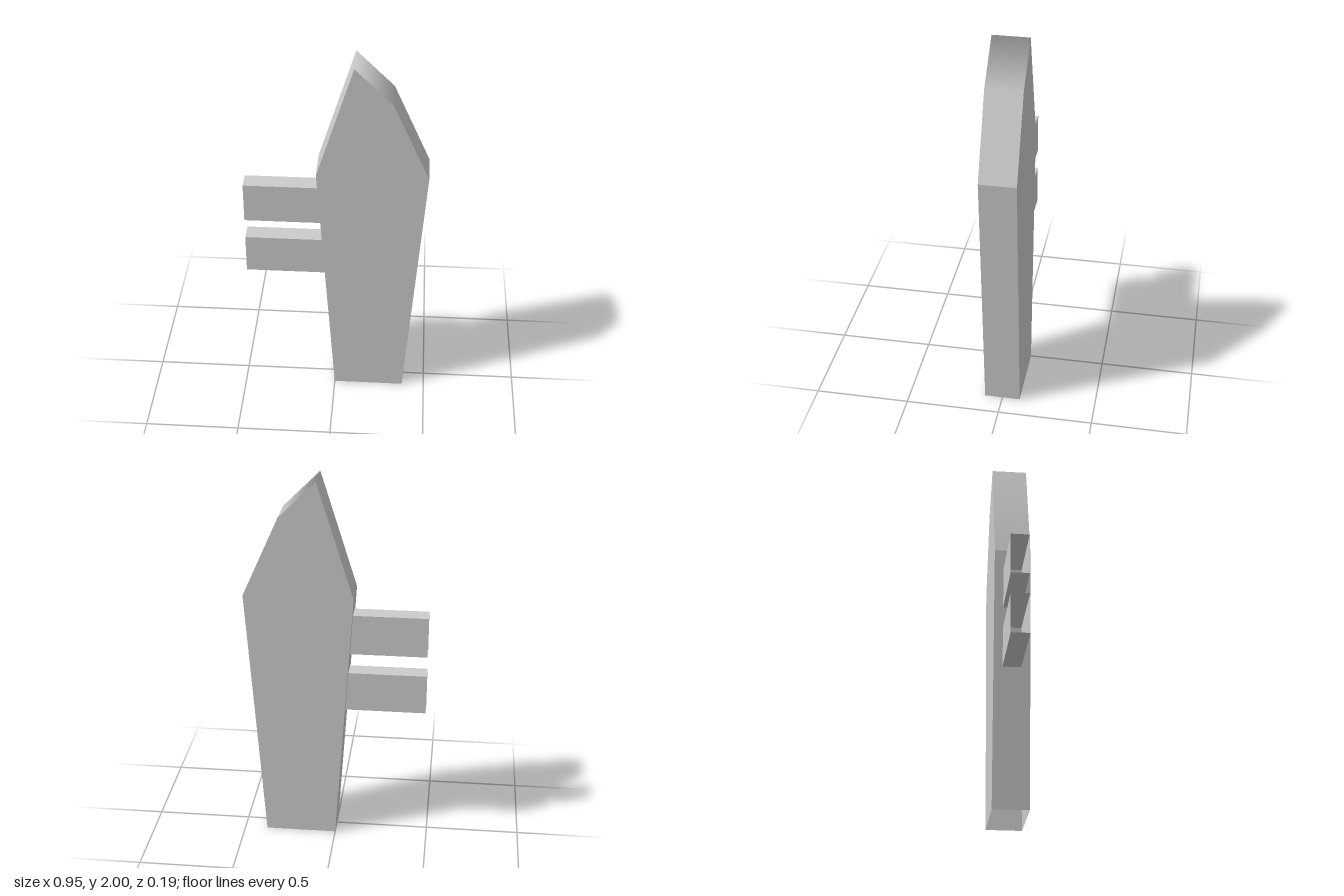
import * as THREE from 'three';
import { mergeGeometries } from 'three/addons/utils/BufferGeometryUtils.js';

// One quad, corners counter-clockwise seen from outside
function quad(corners) {
  const g = new THREE.BufferGeometry();
  g.setAttribute('position', new THREE.Float32BufferAttribute(corners.flat(), 3));
  g.setAttribute('uv', new THREE.Float32BufferAttribute([0, 0, 1, 0, 1, 1, 0, 1], 2));
  g.setIndex([0, 1, 2, 0, 2, 3]);
  g.computeVertexNormals();
  return g;
}

export function createModel() {
  const model = new THREE.Group();
  const mat = new THREE.MeshStandardMaterial({ color: 0xcccccc, side: THREE.DoubleSide });
  const add = (name, parts) => {
    const mesh = new THREE.Mesh(mergeGeometries(parts), mat);
    mesh.name = name;
    model.add(mesh);
  };

  // Picket outline, from the bottom right counter-clockwise to the bottom left
  const outline = [[0.378, 0], [0.473, 1.39], [0.285, 1.81], [0.093, 2], [-0.095, 1.39], [0, 0]];
  const D = 0.095;
  const shape = new THREE.Shape(outline.map(([x, y]) => new THREE.Vector2(x, y)));
  const front = new THREE.ShapeGeometry(shape).translate(0, 0, D);
  const back = new THREE.ShapeGeometry(shape).rotateY(Math.PI).scale(-1, 1, 1).translate(0, 0, -D);
  // The mirror turned the faces over, so reverse their corners
  back.setIndex([...back.index.array].reverse());
  back.computeVertexNormals();
  add('picketFaces', [front, back]);

  // Picket edge band, open at the bottom; the crown is shaded softly across the tip
  const soft = { 2: [[0.913, 0.408], [-0.91, 0.41]], 3: [[-0.91, 0.41], [-0.97, 0.24]] };
  const band = [];
  for (let i = 0; i < outline.length - 1; i++) {
    const [a, b] = [outline[i], outline[i + 1]];
    const g = quad([[...a, D], [...a, -D], [...b, -D], [...b, D]]);
    if (soft[i]) {
      const [na, nb] = soft[i];
      [na, na, nb, nb].forEach((n, k) => g.attributes.normal.setXYZ(k, n[0], n[1], 0));
    }
    band.push(g);
  }
  add('picketEdges', band);

  // Rails: hollow beams with open ends, cut to the slant of the picket side
  const sideX = (y) => -0.095 * y / 1.39;
  const X = -0.475, H = 0.048;
  [['upperRail', 1.065, 1.282], ['lowerRail', 0.74, 0.955]].forEach(([name, y0, y1]) => {
    const section = [[y0, H], [y1, H], [y1, -H], [y0, -H]];
    add(name, section.map(([ya, za], i) => {
      const [yb, zb] = section[(i + 1) % 4];
      return quad([[X, ya, za], [sideX(ya), ya, za], [sideX(yb), yb, zb], [X, yb, zb]]);
    }));
  });

  return model;
}
